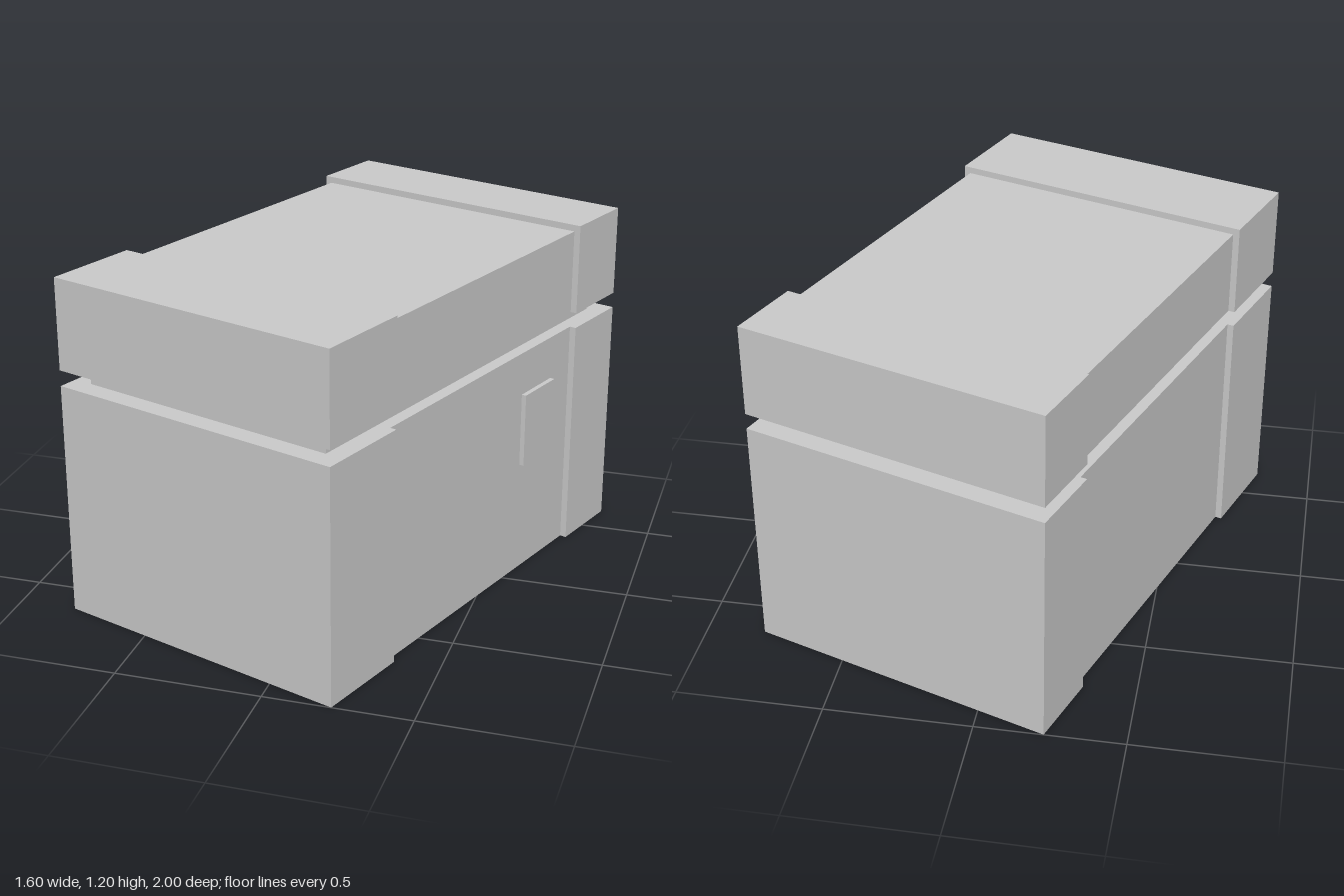
import * as THREE from 'three';

// Half sizes in the chest's own frame (x across, z along)
const W = 0.547, L = 0.868;        // end bands
const M = 0.524;                   // recessed middle section
const ZF = 0.522, ZB = -0.596;     // inner edges of the front and back bands
const NW = 0.479, NL = 0.797;      // neck between body and lid
const BODY = 0.825, LID = 0.88, MID_TOP = 1.177, TOP = 1.2;

// Plan outlines, counter-clockwise seen from above
const outline = [
  [-W, L], [W, L], [W, ZF], [M, ZF], [M, ZB], [W, ZB],
  [W, -L], [-W, -L], [-W, ZB], [-M, ZB], [-M, ZF], [-W, ZF],
];
const neckOutline = [[-NW, NL], [NW, NL], [NW, -NL], [-NW, -NL]];

const material = new THREE.MeshStandardMaterial({
  color: 0xcccccc, flatShading: true, side: THREE.DoubleSide,
});

function mesh(name, geometry) {
  const m = new THREE.Mesh(geometry, material);
  m.name = name;
  return m;
}

function quads(list) {
  const pos = [];
  for (const [a, b, c, d] of list) pos.push(...a, ...b, ...c, ...a, ...c, ...d);
  const g = new THREE.BufferGeometry();
  g.setAttribute('position', new THREE.Float32BufferAttribute(pos, 3));
  g.computeVertexNormals();
  return g;
}

// Upright walls along a closed outline; topOf gives the height of each edge
function walls(points, y0, topOf) {
  return quads(points.map(([x, z], i) => {
    const [x2, z2] = points[(i + 1) % points.length];
    const y1 = topOf(z, z2);
    return [[x, y0, z], [x2, y0, z2], [x2, y1, z2], [x, y1, z]];
  }));
}

// Level rectangle; faces up, or down when up is false
function level(x0, x1, z0, z1, y, up = true) {
  const q = [[x0, y, z1], [x1, y, z1], [x1, y, z0], [x0, y, z0]];
  return up ? q : q.reverse();
}

// Level rim from the outer outline in to the neck
function rim(y, up) {
  const s = up ? -1 : 1;
  const toVec = ([x, z]) => new THREE.Vector2(x, s * z);
  const shape = new THREE.Shape(outline.map(toVec));
  shape.holes.push(new THREE.Path(neckOutline.map(toVec)));
  return new THREE.ShapeGeometry(shape).rotateX(s * Math.PI / 2).translate(0, y, 0);
}

export function createModel() {
  const model = new THREE.Group();
  model.name = 'chest';

  // Hollow body, open underneath, with thin feet under the bands
  const body = new THREE.Group();
  body.name = 'body';
  const feet = [];
  for (const [z0, z1] of [[ZF, L], [-L, ZB]]) {
    feet.push(level(M, W, z0, z1, 0, false), level(-W, -M, z0, z1, 0, false));
  }
  body.add(
    mesh('bodyWalls', walls(outline, 0, () => BODY)),
    mesh('bodyRim', rim(BODY, true)),
    mesh('bandFeet', quads(feet)),
  );

  // Neck joining body and lid
  const neck = mesh('neck', walls(neckOutline, BODY, () => LID));

  // Lid with raised end bands
  const lid = new THREE.Group();
  lid.name = 'lid';
  const isMiddle = (a, b) => Math.max(a, b) === ZF && Math.min(a, b) === ZB;
  lid.add(
    mesh('lidWalls', walls(outline, LID, (a, b) => (isMiddle(a, b) ? MID_TOP : TOP))),
    mesh('lidRim', rim(LID, false)),
    mesh('lidTop', quads([
      level(-W, W, ZF, L, TOP),
      level(-M, M, ZB, ZF, MID_TOP),
      level(-W, W, -L, ZB, TOP),
      [[M, MID_TOP, ZF], [-M, MID_TOP, ZF], [-M, TOP, ZF], [M, TOP, ZF]],
      [[-M, MID_TOP, ZB], [M, MID_TOP, ZB], [M, TOP, ZB], [-M, TOP, ZB]],
    ])),
  );

  // Small plate on the side
  const plate = mesh('lockPlate', new THREE.BoxGeometry(0.017, 0.265, 0.192));
  plate.position.set(M + 0.0085, 0.538, -0.373);

  model.add(body, neck, lid, plate);
  model.rotation.y = -0.335;
  return model;
}
